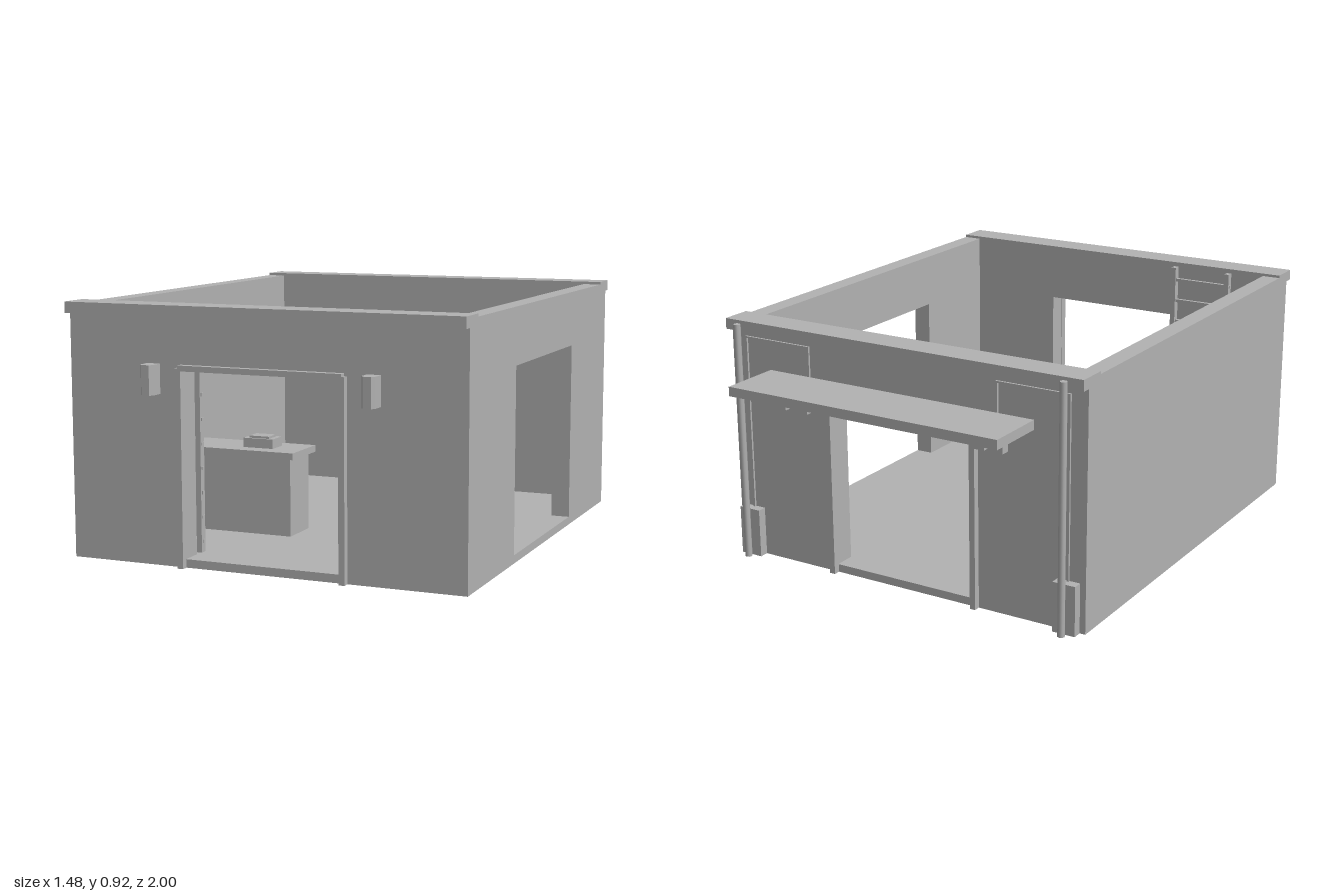
import * as THREE from 'three';

const plaster = new THREE.MeshStandardMaterial({ color: 0xb2b2b2 });
plaster.name = 'plainGrey';

export function createModel() {
  const model = new THREE.Group();
  model.name = 'openRoofShop';

  const add = (name, geometry, parent = model) => {
    const mesh = new THREE.Mesh(geometry, plaster);
    mesh.name = name;
    parent.add(mesh);
    return mesh;
  };
  // Box given by its extents along each axis
  const box = (name, [x0, x1], [y0, y1], [z0, z1], parent) => {
    const mesh = add(name, new THREE.BoxGeometry(Math.abs(x1 - x0), y1 - y0, Math.abs(z1 - z0)), parent);
    mesh.position.set((x0 + x1) / 2, (y0 + y1) / 2, (z0 + z1) / 2);
    return mesh;
  };
  const group = (name) => {
    const g = new THREE.Group();
    g.name = name;
    model.add(g);
    return g;
  };
  // Wall outline with a doorway notched out of its lower edge
  const wall = (name, [a0, a1], top, [d0, d1], doorTop, depth) => {
    const pts = [[a0, 0.03], [d0, 0.03], [d0, doorTop], [d1, doorTop], [d1, 0.03], [a1, 0.03], [a1, top], [a0, top]];
    const shape = new THREE.Shape(pts.map(([x, y]) => new THREE.Vector2(x, y)));
    return add(name, new THREE.ExtrudeGeometry(shape, { depth, bevelEnabled: false }));
  };

  // Floor and walls
  box('floor', [-0.74, 0.74], [0, 0.03], [-0.74, 0.94]);
  wall('frontWall', [-0.74, 0.74], 0.875, [-0.295, 0.295], 0.69, 0.08).position.z = 0.86;
  wall('backWall', [-0.74, 0.74], 0.875, [-0.295, 0.295], 0.67, 0.08).position.z = -0.74;
  box('rightWall', [-0.74, -0.67], [0.03, 0.905], [-0.66, 0.86]);
  const leftWall = wall('leftWall', [-0.86, 0.66], 0.905, [-0.45, 0.25], 0.7, 0.07);
  leftWall.rotation.y = Math.PI / 2;
  leftWall.position.x = 0.67;

  // Capping beams over the front and back walls
  box('frontBeam', [-0.74, 0.74], [0.875, 0.915], [0.86, 0.975]);
  box('backBeam', [-0.74, 0.74], [0.875, 0.915], [-0.775, -0.66]);

  // Door frames
  const frontFrame = group('frontDoorFrame');
  const backFrame = group('backDoorFrame');
  for (const s of [-1, 1]) {
    box('doorJamb', [s * 0.293, s * 0.315], [0, 0.7], [0.935, 0.965], frontFrame);
    box('doorJamb', [s * 0.293, s * 0.315], [0, 0.69], [-0.765, -0.735], backFrame);
  }
  box('doorHeader', [-0.305, 0.305], [0.69, 0.71], [0.935, 0.965], frontFrame);
  box('doorHeader', [-0.305, 0.305], [0.67, 0.69], [-0.765, -0.735], backFrame);

  // Wall lamps with a tapered front
  const lampShape = new THREE.Shape([
    [-0.025, 0], [0.025, 0], [0.025, -0.045], [0.015, -0.06], [-0.015, -0.06], [-0.025, -0.045],
  ].map(([x, y]) => new THREE.Vector2(x, y)));
  const lampGeometry = new THREE.ExtrudeGeometry(lampShape, { depth: 0.105, bevelEnabled: false });
  lampGeometry.rotateX(-Math.PI / 2);
  for (const s of [-1, 1]) add('wallLamp', lampGeometry).position.set(s * 0.41, 0.605, 0.94);

  // Awning over the back door, on two brackets
  box('awning', [-0.55, 0.55], [0.71, 0.745], [-1, -0.765]);
  for (const s of [-1, 1]) {
    const bracket = group('awningBracket');
    box('bracketPlate', [s * 0.385, s * 0.435], [0.605, 0.71], [-0.775, -0.74], bracket);
    box('bracketArm', [s * 0.385, s * 0.435], [0.655, 0.71], [-0.895, -0.775], bracket);
  }

  // Downpipes, their boxes and the thin conduits on the back wall
  for (const s of [-1, 1]) {
    const drain = group('drainage');
    const pipe = add('downpipe', new THREE.CylinderGeometry(0.0135, 0.0135, 0.905, 8), drain);
    pipe.position.set(s * 0.675, 0.4525, -0.792);
    box('pipeBox', [s * 0.63, s * 0.718], [0, 0.185], [-0.775, -0.74], drain);
    box('conduitDrop', [s * 0.39, s * 0.397], [0.7, 0.85], [-0.748, -0.74], drain);
    box('conduitRun', [s * 0.39, s * 0.675], [0.843, 0.85], [-0.748, -0.74], drain);
    box('conduitRiser', [s * 0.67, s * 0.677], [0.18, 0.85], [-0.748, -0.74], drain);
  }

  // L-shaped counter
  const counter = group('counter');
  box('counterBody', [-0.67, -0.11], [0.03, 0.32], [0.32, 0.48], counter);
  box('counterSideBody', [-0.67, -0.56], [0.03, 0.32], [0.48, 0.65], counter);
  box('counterTop', [-0.67, -0.09], [0.32, 0.345], [0.3, 0.5], counter);
  box('counterSideTop', [-0.67, -0.54], [0.32, 0.345], [0.5, 0.67], counter);
  for (const y of [0.105, 0.177, 0.25]) {
    box('drawerHandle', [-0.24, -0.17], [y - 0.004, y + 0.004], [0.308, 0.32], counter);
  }
  box('cashBox', [-0.32, -0.2], [0.345, 0.38], [0.36, 0.44], counter);
  box('cashBoxLid', [-0.3, -0.22], [0.38, 0.388], [0.37, 0.43], counter);

  // Ladder against the inside of the front wall
  const ladder = group('ladder');
  for (const x of [-0.545, -0.31]) box('ladderRail', [x, x + 0.02], [0.03, 0.905], [0.805, 0.832], ladder);
  for (let i = 0; i < 10; i++) {
    const y = 0.07 + i * 0.087;
    box('ladderRung', [-0.548, -0.287], [y - 0.006, y + 0.006], [0.811, 0.825], ladder);
  }

  return model;
}
